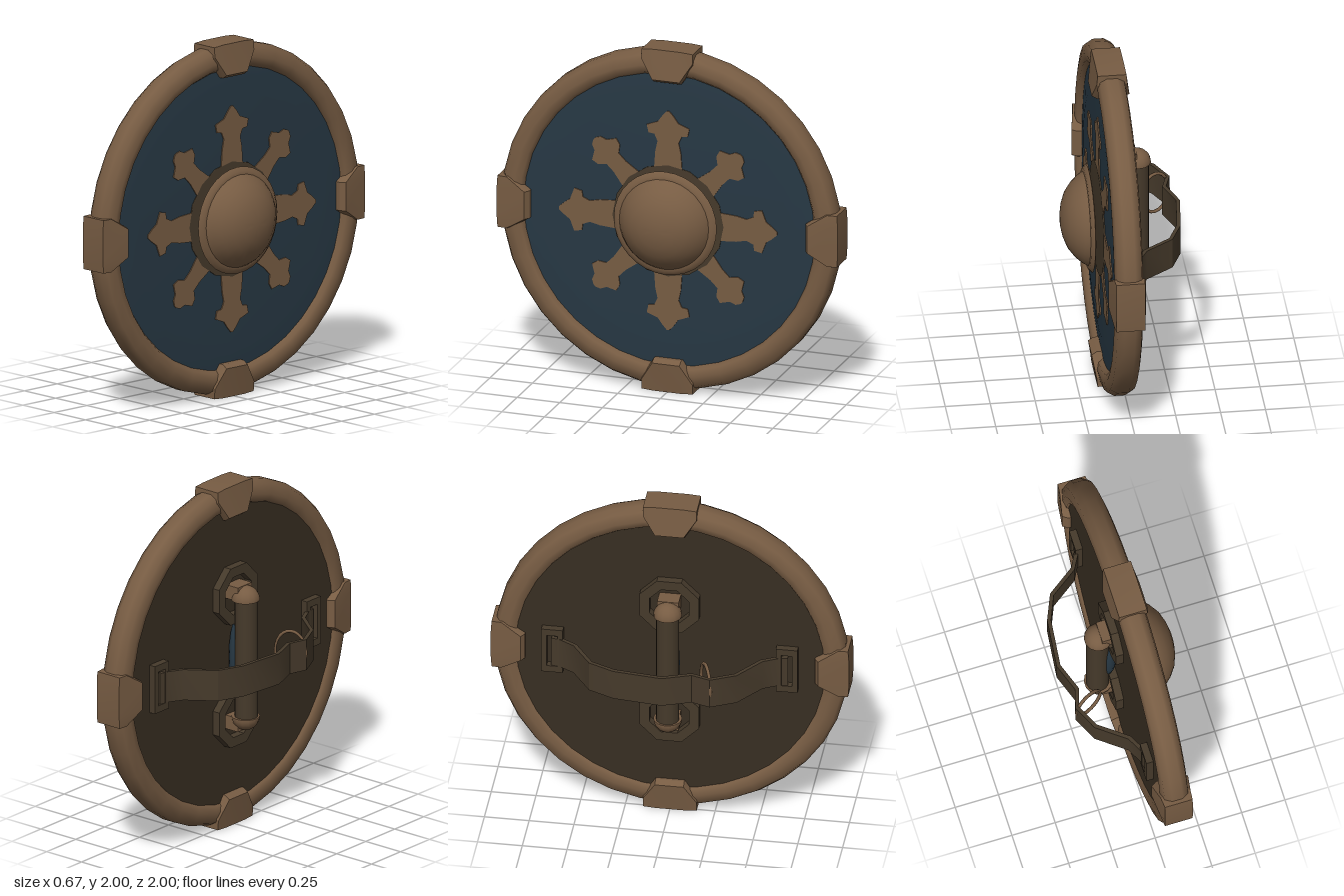
import * as THREE from 'three';
import { toCreasedNormals } from 'three/addons/utils/BufferGeometryUtils.js';

const mat = (name, color) => Object.assign(new THREE.MeshStandardMaterial({ color }), { name });

// Solid skin through a row of equal cross-sections, capped at both ends
function loft(rings) {
  const n = rings[0].length, pos = [];
  const tri = (...p) => p.forEach(v => pos.push(...v));
  for (let i = 0; i < rings.length - 1; i++) {
    for (let j = 0; j < n; j++) {
      const k = (j + 1) % n;
      const a = rings[i][j], b = rings[i][k], c = rings[i + 1][k], d = rings[i + 1][j];
      tri(a, b, c);
      tri(a, c, d);
    }
  }
  const first = rings[0], last = rings[rings.length - 1];
  for (let j = 1; j < n - 1; j++) {
    tri(first[0], first[j + 1], first[j]);
    tri(last[0], last[j], last[j + 1]);
  }
  const g = new THREE.BufferGeometry();
  g.setAttribute('position', new THREE.Float32BufferAttribute(pos, 3));
  g.computeVertexNormals();
  return toCreasedNormals(g, 0.5);
}

// Turned part: profile points are [radius, depth], depth runs along local +z
function turned(profile, sides = 32) {
  return new THREE.LatheGeometry(profile.map(p => new THREE.Vector2(...p)), sides).rotateX(Math.PI / 2);
}

// Symmetric outline from its right half, extruded between two depths
function plate(half, z0, z1, hole) {
  const pts = [...half, ...half.slice().reverse().map(([x, y]) => [-x, y])];
  const shape = new THREE.Shape(pts.map(p => new THREE.Vector2(...p)));
  if (hole) shape.holes.push(new THREE.Path(hole.map(p => new THREE.Vector2(...p))));
  return new THREE.ExtrudeGeometry(shape, { depth: z1 - z0, bevelEnabled: false }).translate(0, 0, z0);
}

export function createModel() {
  const bronze = mat('bronze', 0x775c43);
  const blue = mat('bluePaint', 0x273844);
  const wood = mat('darkWood', 0x382e22);
  const leather = mat('leather', 0x463a2b);

  // Shield is built facing local +z, then turned to face +x
  const model = new THREE.Group();
  model.name = 'roundShield';
  const face = new THREE.Group();
  face.name = 'shieldBody';
  face.position.y = 1;
  face.rotation.y = Math.PI / 2;
  model.add(face);
  const add = (name, geometry, material) => {
    const m = new THREE.Mesh(geometry, material);
    m.name = name;
    face.add(m);
    return m;
  };

  // Board and rim
  add('boardFront', turned([[0.9, 0.1], [0.7, 0.118], [0, 0.12]]), blue);
  add('boardBack', turned([[0, 0], [0.9, 0]]), wood);
  add('rim', turned([[0.85, 0.02], [0.87, -0.01], [0.91, -0.02], [0.965, -0.008], [0.987, 0.03], [0.987, 0.09],
    [0.965, 0.128], [0.91, 0.14], [0.87, 0.13], [0.85, 0.1], [0.85, 0.02]], 36), bronze);

  // Four clasps gripping the rim
  const claspRing = (t, h, low, top) => [
    [t, top, -0.02], [t, top, 0.14], [t, low + 0.02, 0.06 + h], [t, low, 0.03 + h],
    [t, low, 0.09 - h], [t, low + 0.02, 0.06 - h]];
  const clasp = loft([
    claspRing(-0.15, 0.085, 0.92, 0.995), claspRing(-0.08, 0.105, 0.81, 1),
    claspRing(0.08, 0.105, 0.81, 1), claspRing(0.15, 0.085, 0.92, 0.995)]);
  for (let i = 0; i < 4; i++) add('rimClasp', clasp, bronze).rotation.z = i * Math.PI / 2;

  // Star emblem: long spear rays and shorter diagonal rays
  const longRay = plate([[0.085, 0.26], [0.075, 0.4], [0.062, 0.46], [0.08, 0.5], [0.115, 0.505],
    [0.125, 0.55], [0.06, 0.575], [0.035, 0.61], [0.008, 0.64]], 0.117, 0.125);
  const shortRay = plate([[0.075, 0.26], [0.05, 0.4], [0.05, 0.46], [0.09, 0.49], [0.1, 0.53],
    [0.05, 0.56], [0.035, 0.595], [0.008, 0.61]], 0.117, 0.125);
  for (let i = 0; i < 8; i++) {
    add('emblemRay', i % 2 ? shortRay : longRay, bronze).rotation.z = i * Math.PI / 4;
  }
  add('emblemRing', turned([[0.325, 0.119], [0.325, 0.128], [0, 0.128]], 16), leather);

  // Boss: flared flange and dome, closed behind
  add('boss', toCreasedNormals(turned([[0, 0.165], [0.29, 0.165], [0.302, 0.17], [0.28, 0.19], [0.262, 0.192],
    [0.245, 0.22], [0.21, 0.258], [0.16, 0.295], [0.1, 0.318], [0.05, 0.328], [0, 0.331]]), 0.8), bronze);

  // Vertical hand grip with end plates, caps and brackets
  add('grip', new THREE.CylinderGeometry(0.065, 0.065, 0.7, 12).translate(0, 0, -0.1), leather);
  add('gripLining', new THREE.SphereGeometry(1, 16, 10).scale(0.06, 0.24, 0.05).translate(0, 0, -0.045), blue);
  const octagon = r => Array.from({ length: 8 }, (_, i) => {
    const a = (i + 0.5) * Math.PI / 4;
    return [r * Math.cos(a), r * Math.sin(a)];
  });
  const octHalf = octagon(0.18).filter(p => p[0] > 0).sort((a, b) => a[1] - b[1]);
  const gripPlate = plate(octHalf, -0.045, 0.005, octagon(0.12));
  const cap = new THREE.SphereGeometry(0.08, 14, 7, 0, Math.PI * 2, 0, Math.PI / 2);
  const capBase = new THREE.CircleGeometry(0.08, 14).rotateX(Math.PI / 2);
  for (const s of [1, -1]) {
    add('gripPlate', gripPlate, leather).position.y = s * 0.362;
    for (const g of [cap, capBase]) {
      const m = add('gripCap', g, bronze);
      m.position.set(0, s * 0.343, -0.095);
      m.rotation.z = s > 0 ? 0 : Math.PI;
    }
    add('gripBracket', new THREE.BoxGeometry(0.12, 0.08, 0.1), bronze).position.set(0, s * 0.385, -0.04);
  }

  // Arm strap: a flat band swept along its bend, [z, x] in model terms
  const path = [[-0.66, -0.02], [-0.61, -0.03], [-0.52, -0.08], [-0.41, -0.235], [-0.27, -0.295], [0, -0.325],
    [0.16, -0.268], [0.265, -0.3], [0.4, -0.235], [0.52, -0.077], [0.61, -0.03], [0.66, -0.02]]
    .map(([z, x]) => new THREE.Vector2(-z, x));
  const strap = path.map((p, i) => {
    const t = path[Math.min(i + 1, path.length - 1)].clone().sub(path[Math.max(i - 1, 0)]).normalize();
    return [[-1, -1], [1, -1], [1, 1], [-1, 1]].map(([u, v]) =>
      [p.x - t.y * v * 0.011, -0.01 + u * 0.09, p.y + t.x * v * 0.011]);
  });
  add('armStrap', loft(strap), leather);

  // Frames holding the strap ends
  const frame = plate([[0.06, -0.14], [0.06, 0.14]], -0.04, 0.005,
    [[-0.03, -0.1], [0.03, -0.1], [0.03, 0.1], [-0.03, 0.1]]);
  for (const s of [1, -1]) add('strapFrame', frame, leather).position.x = s * 0.655;

  // Buckle ring on the strap
  const ring = add('buckleRing', new THREE.TorusGeometry(0.12, 0.01, 6, 24).scale(0.74, 1, 1), bronze);
  ring.position.set(-0.232, 0, -0.225);
  ring.rotation.y = -1.13;

  return model;
}
